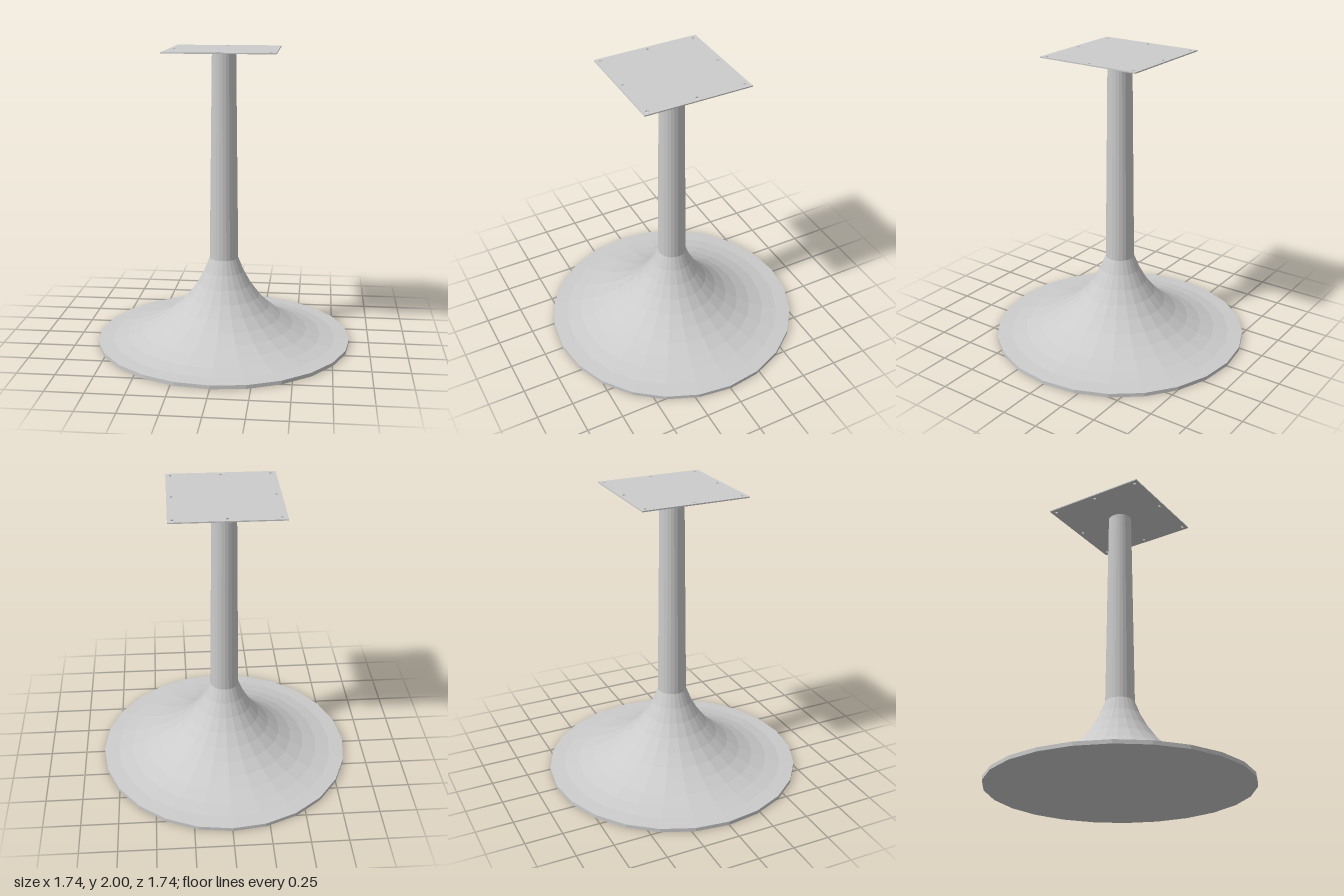
import * as THREE from 'three';

const SIDES = 24;
const RIM = 0.868, RIM_TOP = 0.025;
const NECK = 0.098, NECK_Y = 0.585;
const TOP = 2, PLATE = 0.36, PLATE_T = 0.008;

export function createModel() {
  const group = new THREE.Group();
  const material = new THREE.MeshStandardMaterial({ color: 0xcccccc, flatShading: true });
  const add = (name, geometry) => {
    const mesh = new THREE.Mesh(geometry, material);
    mesh.name = name;
    group.add(mesh);
    return mesh;
  };

  // Trumpet base: closed underside, short rim, then a concave arc up to the neck
  const dx = RIM - NECK, dy = NECK_Y - RIM_TOP;
  const radius = (dx * dx + dy * dy) / (2 * dy);
  const sweep = Math.asin(dx / radius);
  const profile = [new THREE.Vector2(0, 0), new THREE.Vector2(RIM, 0)];
  const steps = 10;
  for (let i = 0; i <= steps; i++) {
    const a = (sweep * i) / steps;
    profile.push(new THREE.Vector2(RIM - radius * Math.sin(a), RIM_TOP + radius * (1 - Math.cos(a))));
  }
  add('base', new THREE.LatheGeometry(profile, SIDES));

  // Slightly tapered column
  const height = TOP - PLATE_T - NECK_Y;
  const column = add('column', new THREE.CylinderGeometry(0.08, NECK, height, SIDES, 1, true));
  column.position.y = NECK_Y + height / 2;

  // Thin square mounting plate with eight screw holes around its edge
  const shape = new THREE.Shape([
    new THREE.Vector2(-PLATE, -PLATE), new THREE.Vector2(PLATE, -PLATE),
    new THREE.Vector2(PLATE, PLATE), new THREE.Vector2(-PLATE, PLATE),
  ]);
  for (const i of [-1, 0, 1]) {
    for (const j of [-1, 0, 1]) {
      if (i === 0 && j === 0) continue;
      const hole = new THREE.Path();
      hole.absarc(i * 0.327, j * 0.327, 0.01, 0, Math.PI * 2, true);
      shape.holes.push(hole);
    }
  }
  const plateGeometry = new THREE.ExtrudeGeometry(shape, { depth: PLATE_T, bevelEnabled: false, curveSegments: 6 });
  plateGeometry.rotateX(-Math.PI / 2);
  add('mountingPlate', plateGeometry).position.y = TOP - PLATE_T;

  return group;
}
